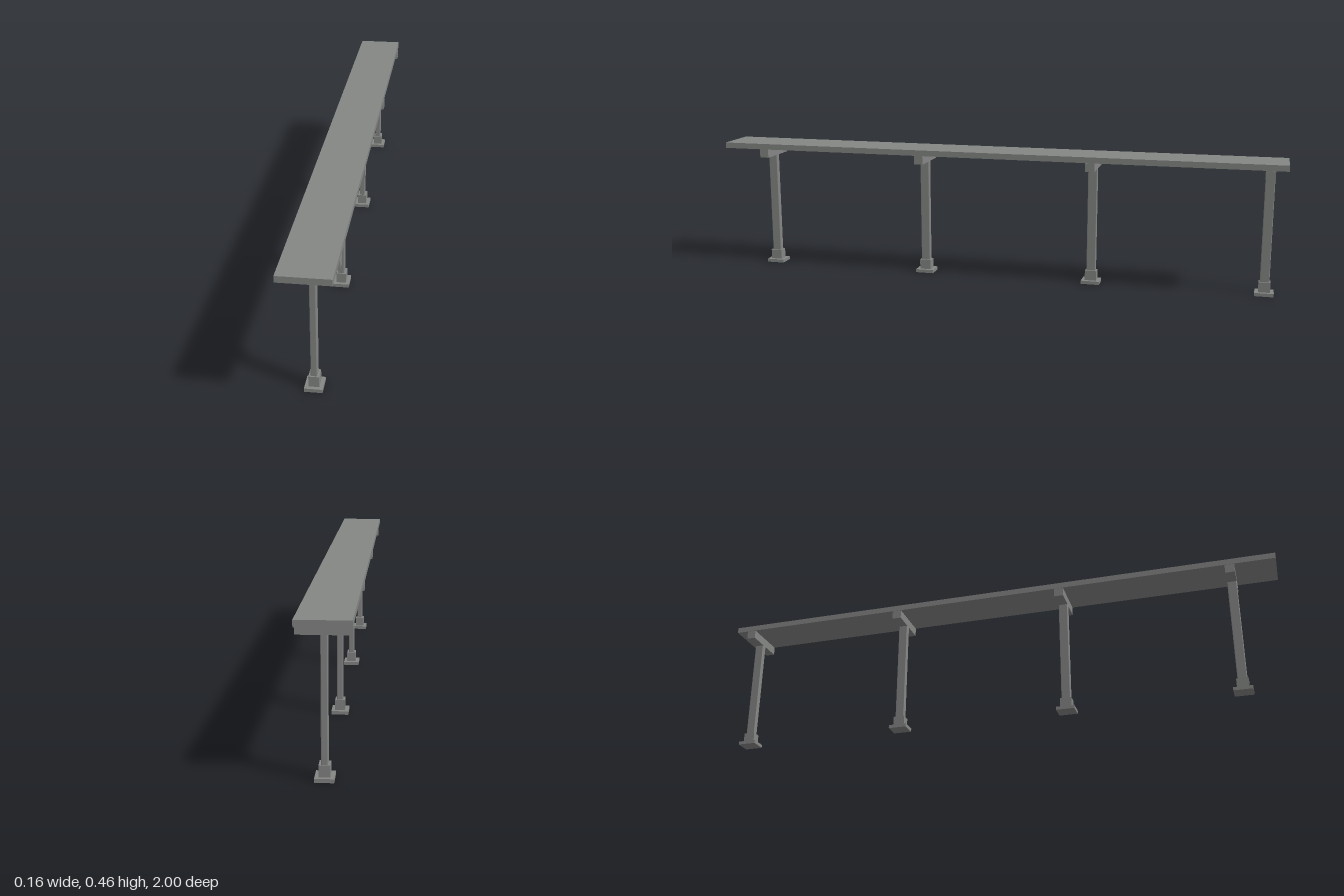
import * as THREE from 'three';

const grey = new THREE.MeshStandardMaterial({ color: 0x858785 });
grey.name = 'steelGrey';

// Box given by its size, its centre in x and its bottom and top heights
function block(name, width, depth, bottom, top, x = 0) {
  const mesh = new THREE.Mesh(new THREE.BoxGeometry(width, top - bottom, depth), grey);
  mesh.name = name;
  mesh.position.set(x, (bottom + top) / 2, 0);
  return mesh;
}

// Upright rectangular tube with softened corners
function tube(name, width, depth, bottom, top, r) {
  const w = width / 2, d = depth / 2;
  const shape = new THREE.Shape();
  shape.absarc(w - r, d - r, r, 0, Math.PI / 2);
  shape.absarc(-w + r, d - r, r, Math.PI / 2, Math.PI);
  shape.absarc(-w + r, -d + r, r, Math.PI, Math.PI * 1.5);
  shape.absarc(w - r, -d + r, r, Math.PI * 1.5, Math.PI * 2);
  const geometry = new THREE.ExtrudeGeometry(shape, {
    depth: top - bottom, bevelEnabled: false, curveSegments: 3,
  });
  geometry.rotateX(-Math.PI / 2);
  const mesh = new THREE.Mesh(geometry, grey);
  mesh.name = name;
  mesh.position.y = bottom;
  return mesh;
}

export function createModel() {
  const model = new THREE.Group();
  model.name = 'elevatedWalkway';

  // Long flat deck
  model.add(block('deck', 0.157, 2, 0.438, 0.458, -0.0005));

  // Four T-shaped supports along the deck
  [0.847, 0.256, -0.351, -0.942].forEach((z, i) => {
    const support = new THREE.Group();
    support.name = `support${i + 1}`;
    support.position.z = z;
    support.add(
      block('basePlate', 0.055, 0.064, 0, 0.0115),
      block('collar', 0.032, 0.04, 0.0115, 0.046),
      tube('post', 0.0196, 0.032, 0.046, 0.408, 0.0025),
      block('crossBeam', 0.157, 0.032, 0.408, 0.438, 0.0005),
    );
    model.add(support);
  });

  return model;
}
